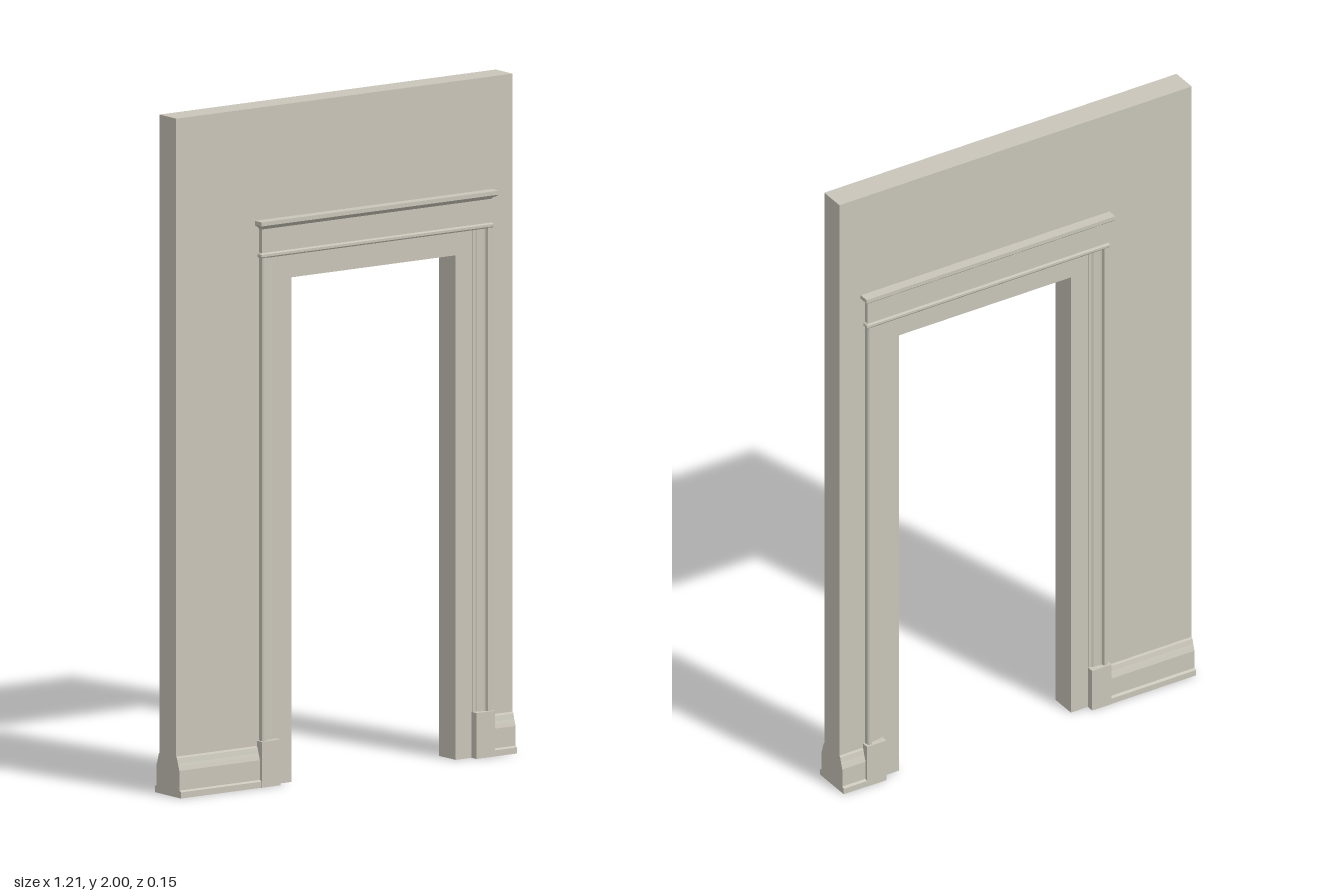
import * as THREE from 'three';

export function createModel() {
  const model = new THREE.Group();
  const plaster = new THREE.MeshStandardMaterial({ color: 0xc9c5b9 });
  plaster.name = 'warm grey plaster';

  const add = (name, geometry) => {
    const mesh = new THREE.Mesh(geometry, plaster);
    mesh.name = name;
    model.add(mesh);
    return mesh;
  };
  const extrude = (points, depth) => new THREE.ExtrudeGeometry(
    new THREE.Shape(points.map(([x, y]) => new THREE.Vector2(x, y))),
    { depth, bevelEnabled: false });

  const halfWidth = 0.605, wallZ = 0.041;
  const openLeft = -0.19, openRight = 0.4, openTop = 1.487;
  const middle = (openLeft + openRight) / 2;

  // Wall with an off-centre doorway
  const wall = extrude([
    [-halfWidth, 0], [openLeft, 0], [openLeft, openTop], [openRight, openTop],
    [openRight, 0], [halfWidth, 0], [halfWidth, 2], [-halfWidth, 2],
  ], wallZ * 2);
  wall.translate(0, 0, -wallZ);
  add('wall', wall);

  // Skirting: one [z, y] profile for both faces, run along x on each side
  const skirtHalf = [[0.064, 0], [0.064, 0.018], [0.056, 0.022], [0.056, 0.08],
    [0.052, 0.092], [0.049, 0.1], [0.045, 0.115], [wallZ, 0.12]];
  const skirtProfile = [...skirtHalf, ...skirtHalf.map(([z, y]) => [-z, y]).reverse()];
  const addSkirting = (name, x0, x1) => {
    const geometry = extrude(skirtProfile, x1 - x0);
    geometry.rotateY(Math.PI / 2);
    geometry.translate(x0, 0, 0);
    add(name, geometry);
  };
  addSkirting('rightSkirting', -halfWidth, -0.3);
  addSkirting('leftSkirting', 0.51, halfWidth);

  // Door casings: [distance from doorway middle, z], thick outside, thin inside
  const casingHalf = [[0.413, 0.03], [0.413, 0.056], [0.409, 0.059], [0.399, 0.059],
    [0.396, 0.051], [0.392, 0.049], [0.368, 0.047], [0.364, 0.044], [0.356, 0.044], [0.355, 0.03]];
  for (const side of [-1, 1]) {
    const sideName = side < 0 ? 'right' : 'left';
    for (const face of [-1, 1]) {
      const geometry = extrude(casingHalf.map(([d, z]) => [middle + side * d, -face * z]), 1.56);
      geometry.rotateX(-Math.PI / 2);
      add(sideName + (face > 0 ? 'FrontCasing' : 'BackCasing'), geometry);
    }
    // Plinth block under both casings
    const plinth = new THREE.BoxGeometry(0.067, 0.135, 0.13);
    plinth.translate(middle + side * 0.3865, 0.0675, 0);
    add(sideName + 'Plinth', plinth);
  }

  // Horizontal moulding: rows of [y, half length, half depth], mitred at the ends
  const addMoulding = (name, rows) => {
    const positions = [];
    const quad = (a, b, c, d) => positions.push(...a, ...b, ...c, ...a, ...c, ...d);
    const corners = ([y, l, z]) => [[-l, y, z], [l, y, z], [l, y, -z], [-l, y, -z]];
    for (let i = 0; i < rows.length - 1; i++) {
      const low = corners(rows[i]), high = corners(rows[i + 1]);
      for (let k = 0; k < 4; k++) {
        const n = (k + 1) % 4;
        quad(low[k], low[n], high[n], high[k]);
      }
    }
    quad(...corners(rows[0]).reverse());
    quad(...corners(rows[rows.length - 1]));
    const geometry = new THREE.BufferGeometry();
    geometry.setAttribute('position', new THREE.Float32BufferAttribute(positions, 3));
    geometry.computeVertexNormals();
    geometry.translate(middle, 0, 0);
    add(name, geometry);
  };
  addMoulding('headBead', [[1.558, 0.414, 0.058], [1.562, 0.418, 0.061],
    [1.569, 0.418, 0.061], [1.573, 0.414, 0.058]]);
  addMoulding('headFrieze', [[1.57, 0.412, 0.055], [1.648, 0.412, 0.055]]);
  addMoulding('headCornice', [[1.643, 0.412, 0.056], [1.648, 0.416, 0.061],
    [1.652, 0.423, 0.069], [1.656, 0.427, 0.073], [1.668, 0.427, 0.073]]);

  return model;
}
